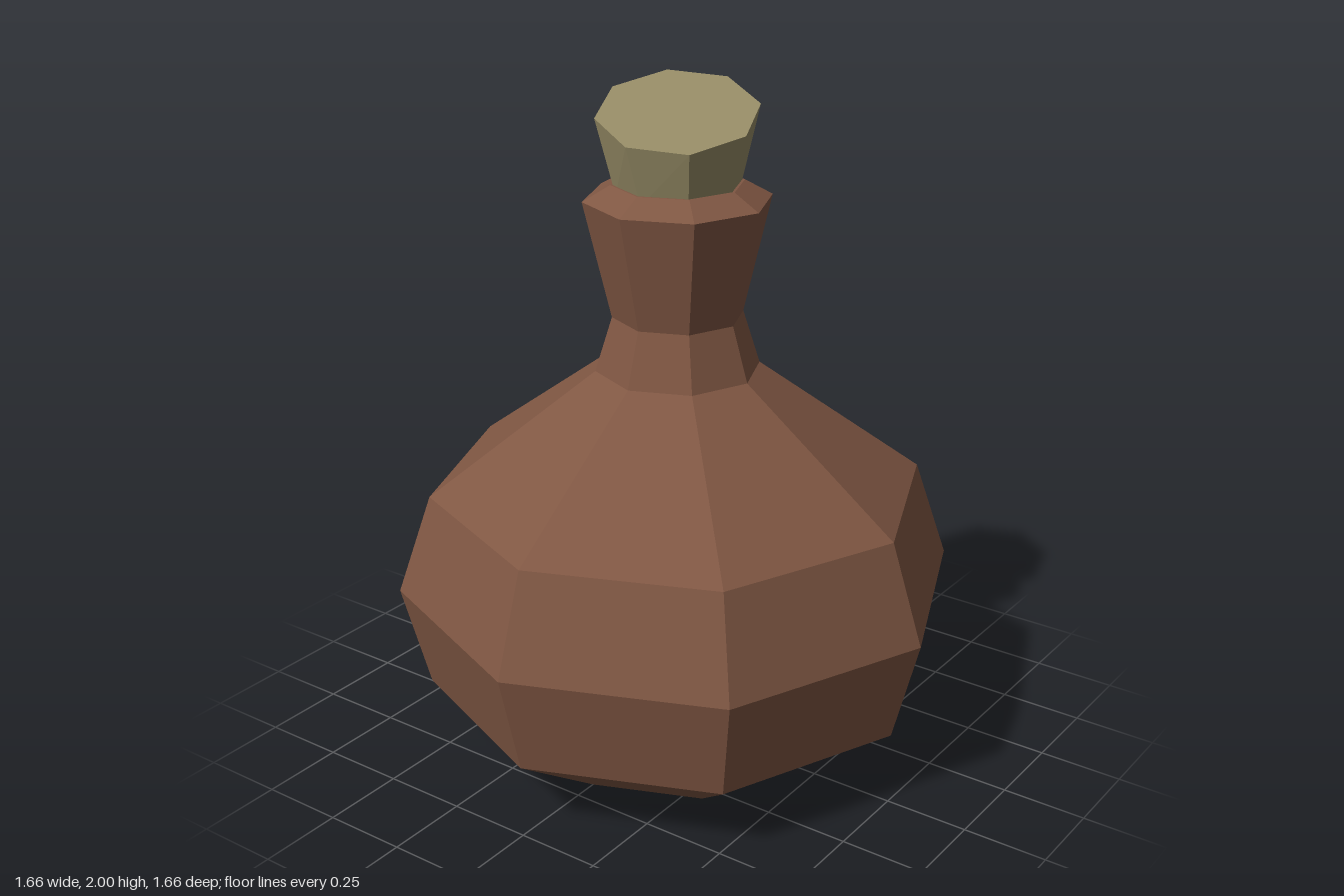
import * as THREE from 'three';

const SIDES = 8;

// Unshared vertices give crisp, flat facets
function faceted(geometry) {
  const flat = geometry.toNonIndexed();
  flat.computeVertexNormals();
  return flat;
}

function part(name, geometry, material) {
  const mesh = new THREE.Mesh(faceted(geometry), material);
  mesh.name = name;
  return mesh;
}

export function createModel() {
  const clay = new THREE.MeshStandardMaterial({ color: 0x805743 });
  clay.name = 'brown clay';
  const corkTan = new THREE.MeshStandardMaterial({ color: 0x968c66 });
  corkTan.name = 'cork tan';

  const group = new THREE.Group();
  group.name = 'corkedFlask';

  // Flask: base, belly, shoulder, pinched neck and flared rim
  const profile = [
    [0, 0], [0.43, 0], [0.75, 0.22], [0.83, 0.53], [0.73, 0.825],
    [0.24, 1.185], [0.19, 1.345], [0.27, 1.685], [0.19, 1.73], [0, 1.73],
  ].map(([r, y]) => new THREE.Vector2(r, y));
  group.add(part('flask', new THREE.LatheGeometry(profile, SIDES), clay));

  // Cork: tapered plug whose top is cut on a slant
  const bottom = 1.7;
  const cork = new THREE.CylinderGeometry(0.225, 0.175, 1, SIDES);
  const pos = cork.attributes.position;
  for (let i = 0; i < pos.count; i++) {
    const x = pos.getX(i), z = pos.getZ(i);
    if (pos.getY(i) > 0) {
      pos.setXYZ(i, x - 0.05 * z, 1.93 - 0.176 * x - 0.26 * z, z);
    } else {
      pos.setY(i, bottom);
    }
  }
  group.add(part('cork', cork, corkTan));

  return group;
}
